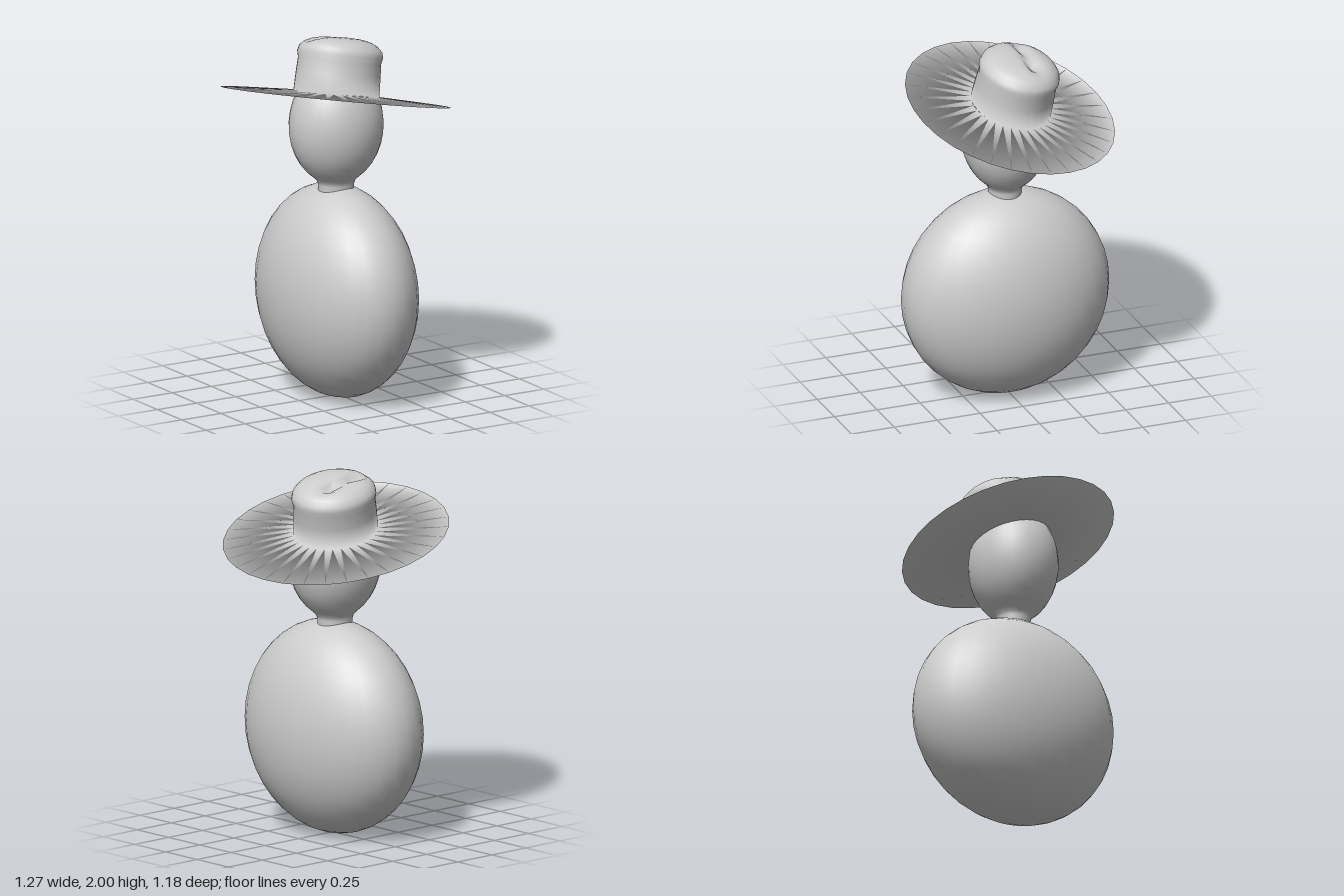
import * as THREE from 'three';
import { mergeVertices } from 'three/addons/utils/BufferGeometryUtils.js';

const grey = new THREE.MeshStandardMaterial({ color: 0xcccccc });
grey.name = 'plain grey';

// Spins a profile of [radius, height] points; a rule may move the vertices before smoothing
function turned(profile, rule) {
  const lathe = new THREE.LatheGeometry(profile.map(([r, y]) => new THREE.Vector2(r, y)), 32);
  const p = lathe.attributes.position;
  const v = new THREE.Vector3();
  for (let i = 0; i < p.count; i++) {
    rule(v.fromBufferAttribute(p, i));
    p.setXYZ(i, v.x, v.y, v.z);
  }
  lathe.deleteAttribute('uv');
  lathe.deleteAttribute('normal');
  const geometry = mergeVertices(lathe, 1e-4);
  geometry.computeVertexNormals();
  return geometry;
}

function add(group, name, geometry, x, y, z) {
  const mesh = new THREE.Mesh(geometry, grey);
  mesh.name = name;
  mesh.position.set(x, y, z);
  group.add(mesh);
  return mesh;
}

export function createModel() {
  const model = new THREE.Group();
  model.name = 'hattedFigure';

  // Body: a disc-like ellipsoid, narrow across x
  const body = new THREE.SphereGeometry(1, 32, 20);
  body.scale(0.375, 0.59, 0.59);
  add(model, 'body', body, -0.01, 0.592, 0);

  // Head flowing down into a short neck
  const headProfile = [[0.1, -0.42], [0.1, -0.33], [0.108, -0.308]];
  for (let i = 0; i <= 14; i++) {
    const a = THREE.MathUtils.lerp(-1.08, Math.PI / 2, i / 14);
    headProfile.push([Math.max(0, 0.265 * Math.cos(a)), 0.33 * Math.sin(a)]);
  }
  add(model, 'headAndNeck', turned(headProfile, (v) => { v.z *= 0.905; }), -0.015, 1.52, 0);

  // Hat: thin oval brim and crown in one smooth skin, with a pinch across the top
  const hatProfile = [
    [0, -0.01], [0.2, -0.01], [0.65, 0],
    [0.24, 0.02], [0.236, 0.13], [0.232, 0.2], [0.24, 0.235], [0.232, 0.265],
    [0.205, 0.292], [0.17, 0.309], [0.135, 0.318], [0.1, 0.324], [0.07, 0.326],
    [0.04, 0.328], [0, 0.328],
  ];
  const hat = add(model, 'hat', turned(hatProfile, (v) => {
    v.z *= Math.hypot(v.x, v.z) > 0.3 ? 0.88 : 0.92;
    if (v.y > 0.28) {
      const x = v.x + 0.03;
      const across = Math.exp(-(((v.z + 0.04) / 0.035) ** 2));
      const along = Math.exp(-((x / 0.16) ** 4)) * (0.75 - 0.25 * Math.cos(x * 32));
      v.y -= 0.045 * across * along;
    }
  }), 0, 1.665, -0.025);
  hat.quaternion.setFromUnitVectors(
    new THREE.Vector3(0, 1, 0),
    new THREE.Vector3(0.21, 1, -0.15).normalize(),
  );

  return model;
}
